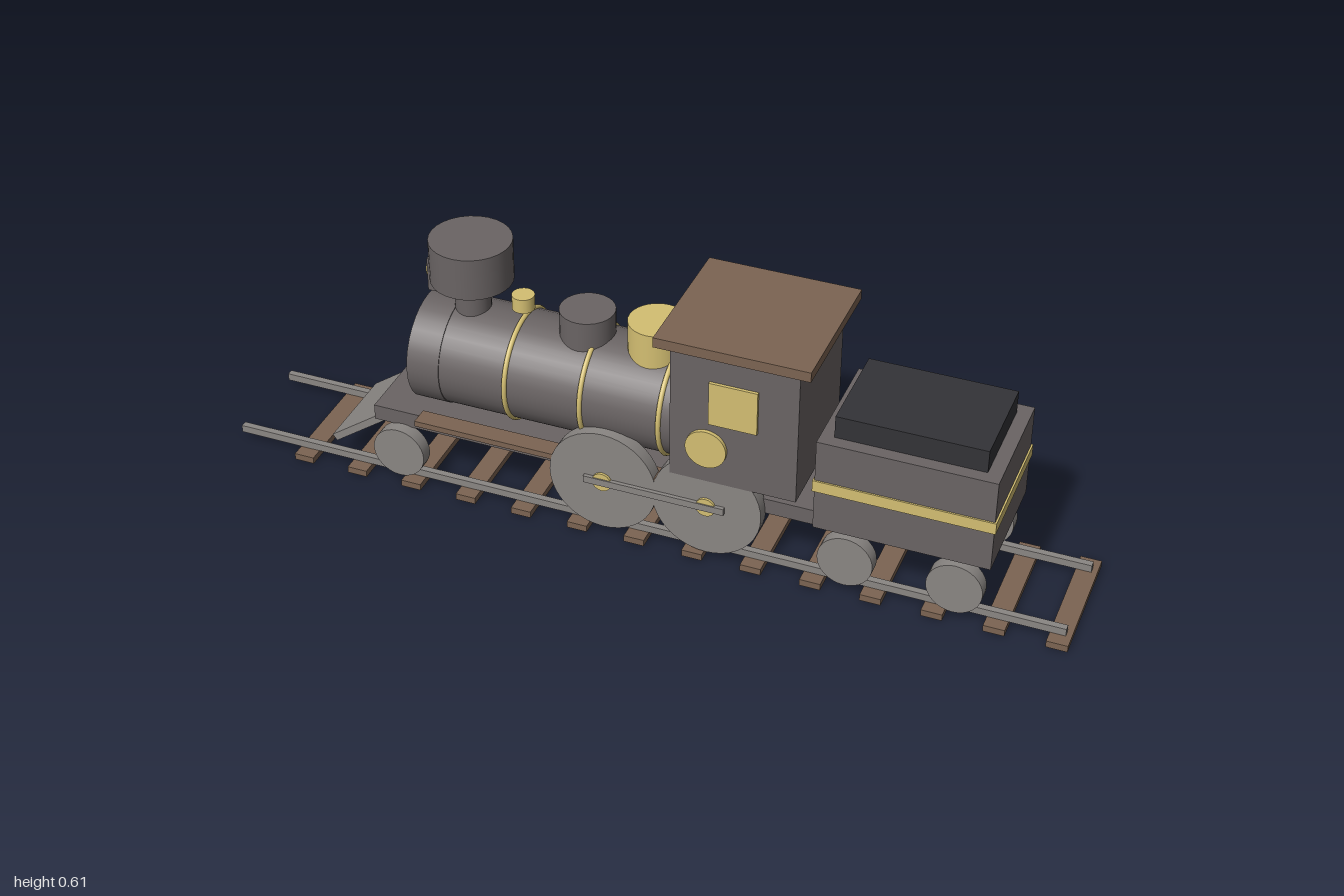
import * as THREE from 'three';

const mat = (color) => new THREE.MeshStandardMaterial({ color });

export function createModel() {
  const root = new THREE.Group();
  const iron = mat(0x6a6464), steel = mat(0x8a8683), brown = mat(0x7c6452);
  const gold = mat(0xd4bf72), coal = mat(0x333337);

  const add = (name, geo, material, x, y, z) => {
    const m = new THREE.Mesh(geo, material);
    m.name = name;
    m.position.set(x, y, z);
    root.add(m);
    return m;
  };
  // box given by its extents, centred on z unless moved
  const box = (name, material, x0, x1, y0, y1, depth, z = 0) =>
    add(name, new THREE.BoxGeometry(x1 - x0, y1 - y0, depth), material, (x0 + x1) / 2, (y0 + y1) / 2, z);
  // cylinders along each axis
  const upright = (name, material, x, y0, y1, r, seg = 28) =>
    add(name, new THREE.CylinderGeometry(r, r, y1 - y0, seg), material, x, (y0 + y1) / 2, 0);
  const alongX = (name, material, x0, x1, y, r, seg = 32) =>
    add(name, new THREE.CylinderGeometry(r, r, x1 - x0, seg).rotateZ(Math.PI / 2), material, (x0 + x1) / 2, y, 0);
  const alongZ = (name, material, x, y, z0, z1, r, seg = 32) =>
    add(name, new THREE.CylinderGeometry(r, r, Math.abs(z1 - z0), seg).rotateX(Math.PI / 2), material, x, y, (z0 + z1) / 2);

  // track
  for (let i = 0; i < 14; i++) {
    const x = -0.82 + i * 0.138;
    box('sleeper', brown, x - 0.024, x + 0.024, 0, 0.016, 0.306);
  }

  // chassis and cowcatcher
  box('frame', iron, -0.645, 0.45, 0.145, 0.183, 0.23);
  const catcher = add('cowcatcher', new THREE.BoxGeometry(0.175, 0.018, 0.22), steel, -0.687, 0.108, 0);
  catcher.rotation.z = 0.62;

  // boiler
  alongX('boiler', iron, -0.53, 0.1, 0.313, 0.126);
  alongX('smokebox', iron, -0.548, -0.47, 0.313, 0.128);
  alongX('smokeboxDoor', steel, -0.56, -0.545, 0.308, 0.068);
  for (const x of [-0.31, -0.13, 0.055])
    add('boilerBand', new THREE.TorusGeometry(0.127, 0.006, 8, 40).rotateY(Math.PI / 2), gold, x, 0.313, 0);

  // chimney, headlamp and domes
  upright('chimneyStem', iron, -0.437, 0.41, 0.52, 0.041);
  upright('chimneyCap', iron, -0.437, 0.51, 0.612, 0.094);
  box('headlampBox', iron, -0.527, -0.45, 0.48, 0.562, 0.08);
  alongX('headlampLens', gold, -0.536, -0.525, 0.522, 0.028, 20);
  upright('bell', gold, -0.314, 0.46, 0.495, 0.026, 20);
  upright('sandDome', iron, -0.16, 0.39, 0.495, 0.063);
  upright('steamDome', gold, 0.005, 0.39, 0.505, 0.066);

  // cab
  box('cab', iron, 0.09, 0.38, 0.218, 0.553, 0.29);
  box('cabRoof', brown, 0.06, 0.41, 0.555, 0.579, 0.337);

  // tender
  box('tenderBody', iron, 0.42, 0.815, 0.163, 0.39, 0.29);
  box('tenderBand', gold, 0.416, 0.819, 0.262, 0.29, 0.298);
  box('coalLoad', coal, 0.45, 0.783, 0.385, 0.444, 0.23);

  // parts mirrored on both sides
  for (const s of [-1, 1]) {
    box('rail', steel, -1, 0.985, 0.016, 0.034, 0.016, s * 0.114);
    box('runningBoard', brown, -0.53, 0.28, 0.172, 0.186, 0.045, s * 0.119);
    box('cabWindow', gold, 0.18, 0.29, 0.376, 0.483, 0.012, s * 0.146);
    alongZ('cabRoundel', gold, 0.175, 0.308, s * 0.14, s * 0.154, 0.047);
    for (const x of [-0.575, 0.495, 0.74])
      alongZ('smallWheel', steel, x, 0.086, s * 0.11, s * 0.143, 0.063);
    for (const x of [-0.07, 0.175]) {
      alongZ('drivingWheel', steel, x, 0.147, s * 0.11, s * 0.143, 0.127, 40);
      alongZ('crankPin', gold, x, 0.147, s * 0.107, s * 0.149, 0.023, 20);
    }
    box('couplingRod', steel, -0.113, 0.218, 0.139, 0.156, 0.01, s * 0.147);
  }
  return root;
}
